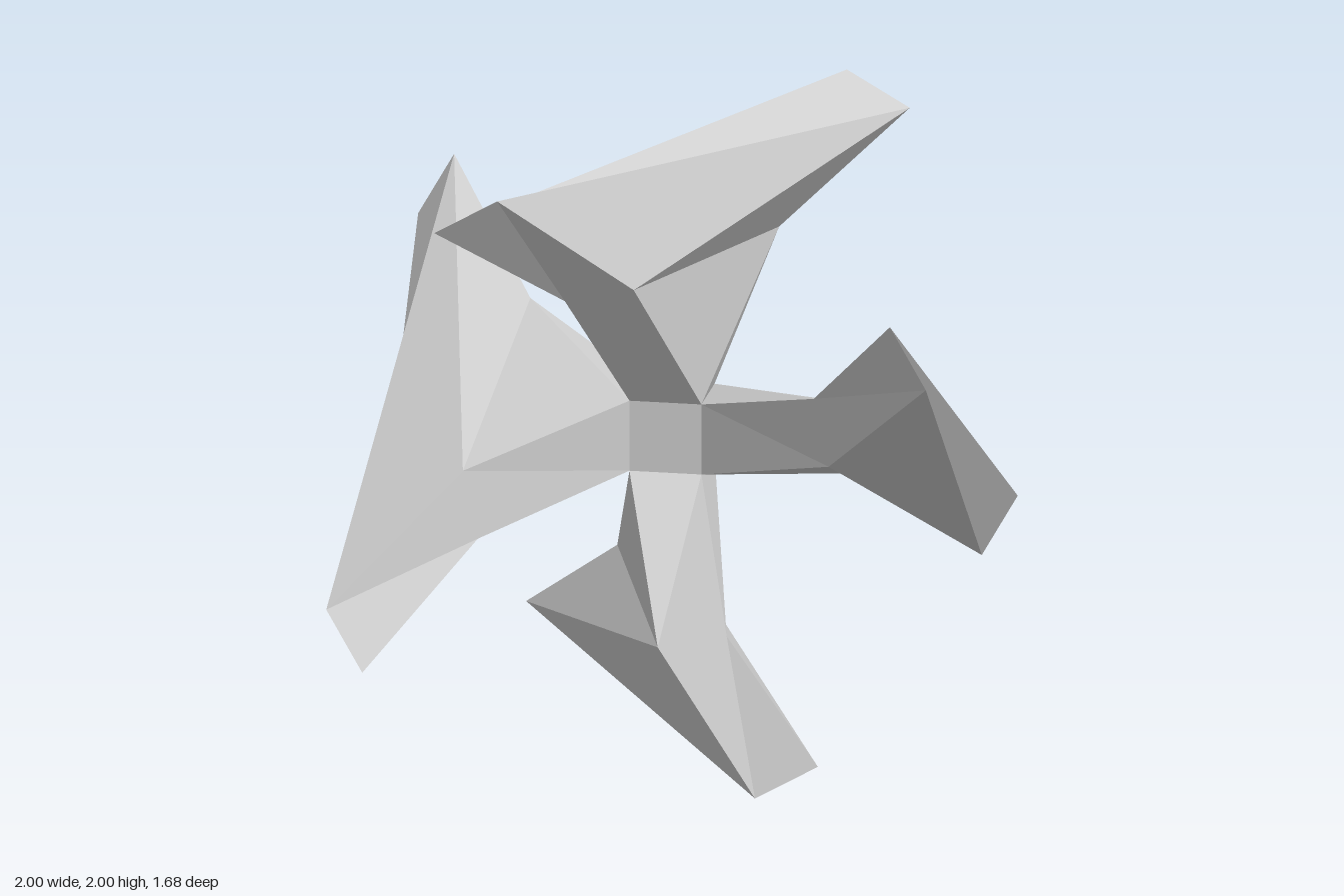
import * as THREE from 'three';

// Cross-sections of one upright arm, from the hub outward, relative to the hub centre.
// Corner order: front-left, front-right, back-right, back-left (the arm twists as it flares).
// The back corners are the front ones turned half a turn about the arm's axis.
const FRONT_CORNERS = [
  [[-0.12, 0.12, 0.12], [0.12, 0.12, 0.12]],     // root on the hub
  [[-0.27, 0.56, 0.48], [-0.04, 0.61, 0.48]],    // waist
  [[-0.64, 0.88, 0.84], [-0.43, 1.0, 0.84]],     // flared tip
];

function armGeometry() {
  const rings = FRONT_CORNERS.map((pair) => [
    ...pair,
    ...pair.map(([x, y, z]) => [-x, y, -z]),
  ]);
  const positions = [];
  const triangle = (...corners) => corners.forEach((c) => positions.push(...c));

  // Side walls
  for (let r = 0; r < rings.length - 1; r++) {
    const lower = rings[r];
    const upper = rings[r + 1];
    for (let i = 0; i < 4; i++) {
      const j = (i + 1) % 4;
      triangle(lower[i], lower[j], upper[j]);
      triangle(lower[i], upper[j], upper[i]);
    }
  }

  // Twisted outer blade face
  const tip = rings[rings.length - 1];
  triangle(tip[0], tip[1], tip[2]);
  triangle(tip[0], tip[2], tip[3]);

  const geometry = new THREE.BufferGeometry();
  geometry.setAttribute('position', new THREE.Float32BufferAttribute(positions, 3));
  geometry.computeVertexNormals();
  return geometry;
}

export function createModel() {
  const model = new THREE.Group();
  model.name = 'fourArmedStar';
  const material = new THREE.MeshStandardMaterial({ color: 0xcccccc, flatShading: true });

  // Central cube
  const hub = new THREE.Mesh(new THREE.BoxGeometry(0.24, 0.24, 0.24), material);
  hub.name = 'hub';
  hub.position.y = 1;
  model.add(hub);

  // Four equal arms around the z axis
  const geometry = armGeometry();
  ['topArm', 'rightArm', 'bottomArm', 'leftArm'].forEach((name, i) => {
    const arm = new THREE.Mesh(geometry, material);
    arm.name = name;
    arm.position.y = 1;
    arm.rotation.z = -i * Math.PI / 2;
    model.add(arm);
  });

  return model;
}
